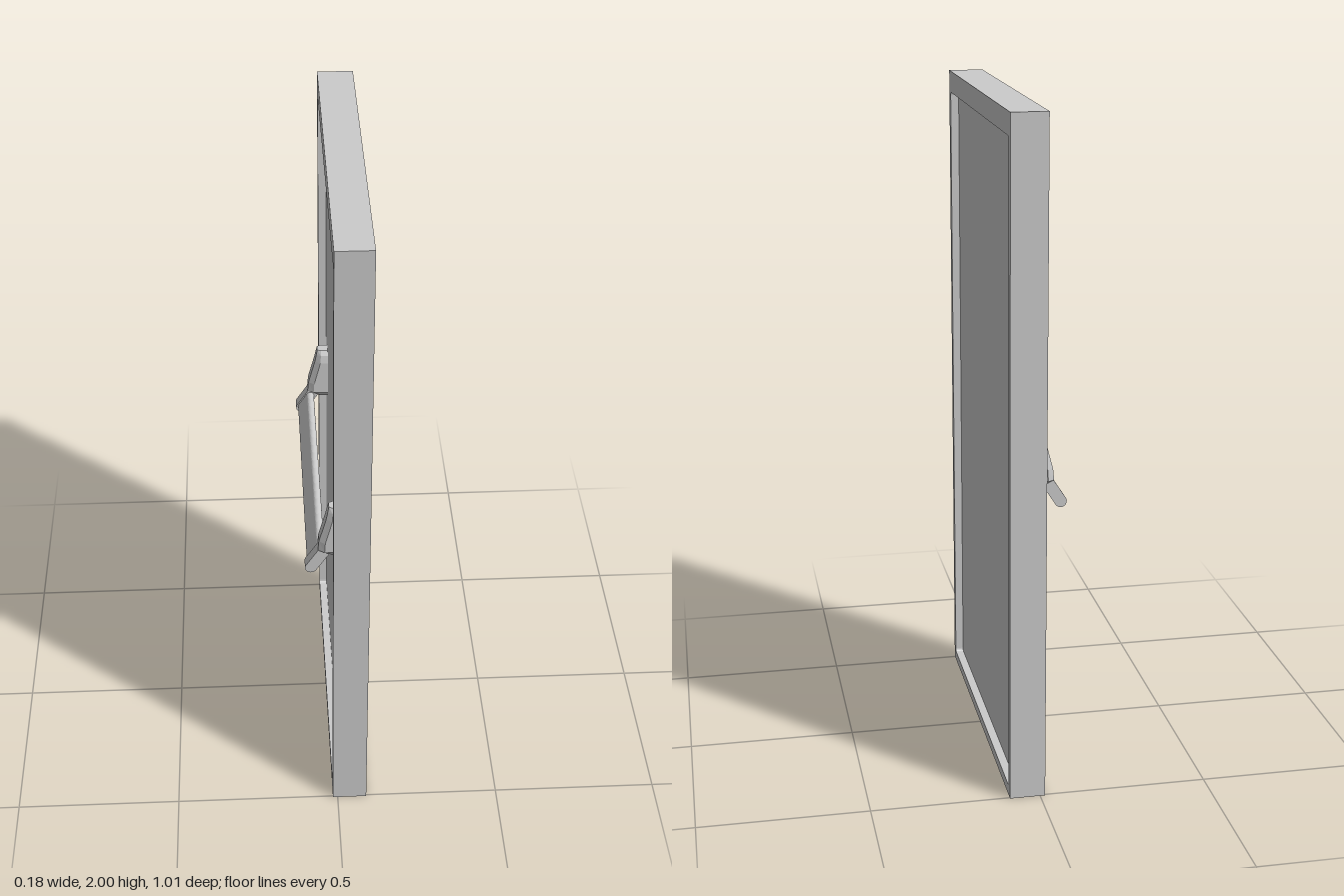
import * as THREE from 'three';

const material = new THREE.MeshStandardMaterial({ color: 0xcccccc, flatShading: true });

function addMesh(parent, name, geometry) {
  const mesh = new THREE.Mesh(geometry, material);
  mesh.name = name;
  parent.add(mesh);
  return mesh;
}

// Rounded rectangle traced into a shape or hole
function roundedRect(path, x0, y0, x1, y1, r) {
  path.moveTo(x0 + r, y0);
  path.lineTo(x1 - r, y0).quadraticCurveTo(x1, y0, x1, y0 + r);
  path.lineTo(x1, y1 - r).quadraticCurveTo(x1, y1, x1 - r, y1);
  path.lineTo(x0 + r, y1).quadraticCurveTo(x0, y1, x0, y1 - r);
  path.lineTo(x0, y0 + r).quadraticCurveTo(x0, y0, x0 + r, y0);
  return path;
}

// Slanted slab with round ends between two points in the xy plane, centred along z
function roundedBar([ax, ay], [bx, by], r, length) {
  const a = Math.atan2(by - ay, bx - ax);
  const shape = new THREE.Shape();
  shape.absarc(bx, by, r, a - Math.PI / 2, a + Math.PI / 2, false);
  shape.absarc(ax, ay, r, a + Math.PI / 2, a + Math.PI * 1.5, false);
  const geo = new THREE.ExtrudeGeometry(shape, { depth: length, bevelEnabled: false, curveSegments: 6 });
  return geo.translate(0, 0, -length / 2);
}

// Bevelled housing lofted upwards from six-sided sections
function housingGeometry() {
  const back = 0.012;
  // y, half width, shoulder x, front half width, front x
  const sections = [
    [0.925, 0.014, -0.012, 0.010, -0.022],
    [0.947, 0.030, -0.036, 0.0175, -0.055],
    [0.980, 0.030, -0.034, 0.0175, -0.052],
    [1.060, 0.030, -0.014, 0.0175, -0.031],
    [1.085, 0.025, -0.012, 0.015, -0.026],
    [1.100, 0.016, -0.012, 0.011, -0.023],
  ];
  const positions = [];
  for (const [y, w, xs, wf, xf] of sections) {
    const ring = [[back, w], [back, -w], [xs, -w], [xf, -wf], [xf, wf], [xs, w]];
    for (const [x, z] of ring) positions.push(x, y, z);
  }
  const index = [];
  const n = 6, top = (sections.length - 1) * n;
  for (let s = 0; s < sections.length - 1; s++) {
    for (let i = 0; i < n; i++) {
      const a = s * n + i, b = s * n + (i + 1) % n;
      index.push(a, a + n, b, b, a + n, b + n);
    }
  }
  for (let i = 1; i < n - 1; i++) {
    index.push(0, i, i + 1, top, top + i + 1, top + i);
  }
  // Orient all faces outward
  if (signedVolume(positions, index) < 0) index.reverse();
  const geo = new THREE.BufferGeometry();
  geo.setAttribute('position', new THREE.Float32BufferAttribute(positions, 3));
  geo.setIndex(index);
  const flat = geo.toNonIndexed();
  flat.computeVertexNormals();
  return flat;
}

function signedVolume(p, index) {
  const v = (i) => new THREE.Vector3(p[3 * i], p[3 * i + 1], p[3 * i + 2]);
  let sum = 0;
  for (let i = 0; i < index.length; i += 3) {
    sum += v(index[i]).dot(v(index[i + 1]).cross(v(index[i + 2])));
  }
  return sum;
}

export function createModel() {
  const model = new THREE.Group();
  model.name = 'door';

  // Surrounding frame, recessed on both faces
  const outline = new THREE.Shape();
  outline.moveTo(-0.505, 0).lineTo(0.505, 0).lineTo(0.505, 2).lineTo(-0.505, 2).closePath();
  outline.holes.push(roundedRect(new THREE.Path(), -0.48, 0.03, 0.48, 1.935, 0.01));
  const frame = new THREE.ExtrudeGeometry(outline, { depth: 0.105, bevelEnabled: false, curveSegments: 3 });
  frame.rotateY(Math.PI / 2).translate(-0.015, 0, 0);
  addMesh(model, 'frame', frame);

  // Door leaf inside the frame
  const leaf = addMesh(model, 'doorLeaf', new THREE.BoxGeometry(0.055, 1.915, 0.97));
  leaf.position.set(0.0375, 0.9825, 0);

  // Push bar across the door
  const pushBar = new THREE.Group();
  pushBar.name = 'pushBar';
  model.add(pushBar);
  addMesh(pushBar, 'crossBar', roundedBar([-0.074, 0.886], [-0.047, 0.928], 0.012, 0.77));

  // Housing and arm at each end
  for (const side of [-1, 1]) {
    const end = new THREE.Group();
    end.name = side > 0 ? 'frontEnd' : 'backEnd';
    end.position.z = side * 0.394;
    addMesh(end, 'housing', housingGeometry());
    addMesh(end, 'arm', roundedBar([-0.075, 0.881], [-0.032, 0.948], 0.0175, 0.035));
    pushBar.add(end);
  }
  return model;
}
